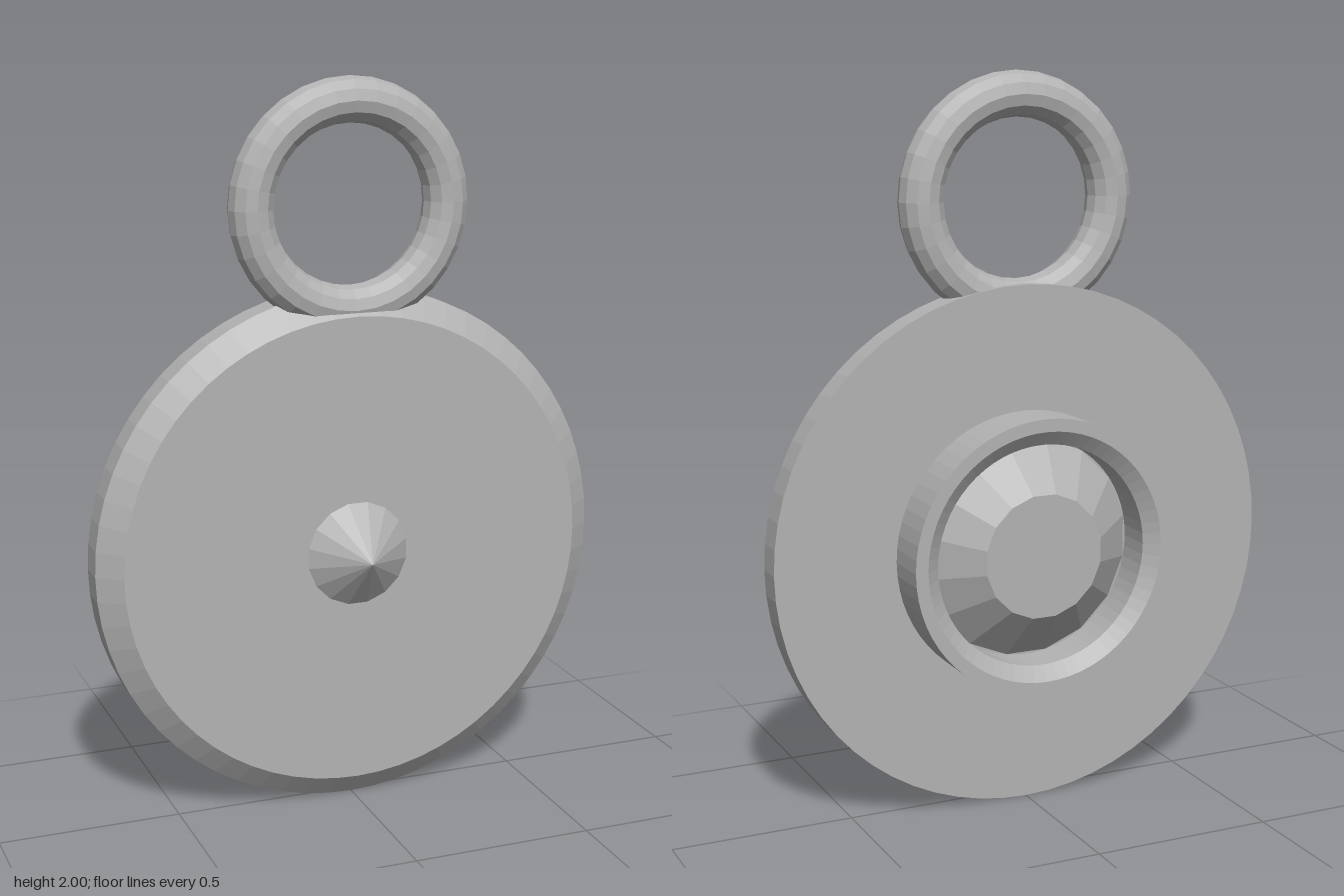
import * as THREE from 'three';

const metal = new THREE.MeshStandardMaterial({ color: 0xb3b3b3, flatShading: true });
metal.name = 'grey metal';

const CENTRE_Y = 0.72;

// Turned part: profile is a list of [radius, z], walked from back to front on the outside
function turned(name, profile, sides, phase = 0) {
  const points = profile.map(([r, z]) => new THREE.Vector2(r, z));
  const geometry = new THREE.LatheGeometry(points, sides, phase);
  geometry.rotateX(Math.PI / 2);
  const mesh = new THREE.Mesh(geometry, metal);
  mesh.name = name;
  mesh.position.y = CENTRE_Y;
  return mesh;
}

export function createModel() {
  const model = new THREE.Group();
  model.name = 'pendant';

  // Flat disc with a bevelled front edge
  model.add(turned('disc', [
    [0, -0.055], [0.72, -0.055], [0.72, 0.025], [0.655, 0.076], [0, 0.076],
  ], 64));

  // Raised setting on the back, chamfered towards the stone
  model.add(turned('setting', [
    [0.305, -0.05], [0.305, -0.16], [0.345, -0.19], [0.38, -0.19], [0.38, -0.05],
  ], 64));

  // Cut stone: table and crown at the back, point emerging at the front
  model.add(turned('stone', [
    [0, -0.17], [0.172, -0.17], [0.31, -0.05], [0, 0.187],
  ], 16, Math.PI / 16));

  // Hanging loop
  const loop = new THREE.Mesh(new THREE.TorusGeometry(0.275, 0.061, 12, 32), metal);
  loop.name = 'loop';
  loop.position.set(0, 1.664, 0.01);
  model.add(loop);

  return model;
}
